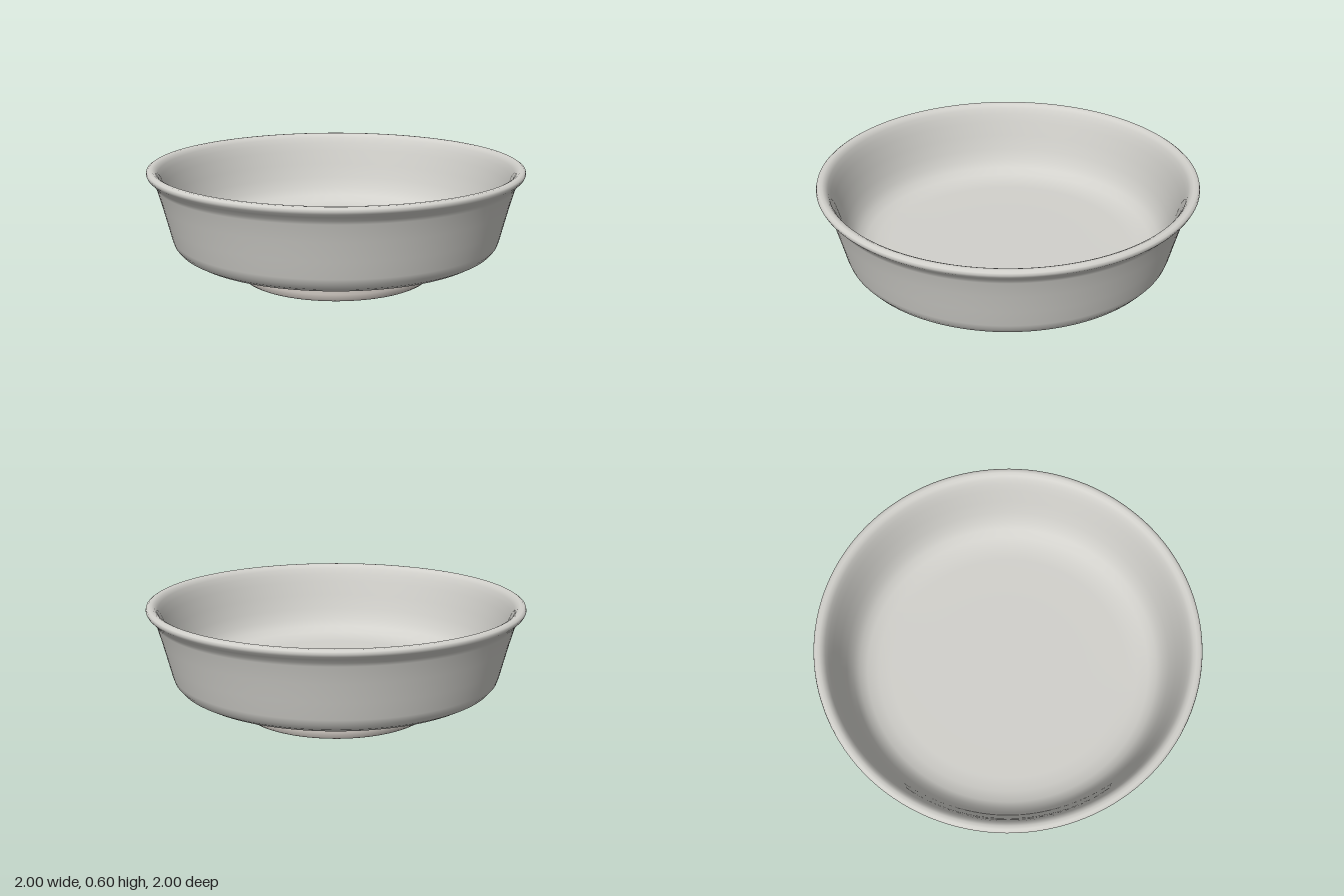
import * as THREE from 'three';

const SEGMENTS = 128;

// Revolve a list of [radius, height] points around the y axis.
function revolve(name, points, color) {
  const profile = points.map(([r, y]) => new THREE.Vector2(r, y));
  const mesh = new THREE.Mesh(
    new THREE.LatheGeometry(profile, SEGMENTS),
    new THREE.MeshStandardMaterial({ color, side: THREE.DoubleSide })
  );
  mesh.name = name;
  return mesh;
}

export function createModel() {
  const group = new THREE.Group();
  group.name = 'footedBowl';

  // Bowl shell: underside, flared wall, rolled rim, then the inside down to the floor
  group.add(revolve('bowl', [
    [0, 0.14], [0.4, 0.14], [0.7, 0.14], [0.76, 0.143], [0.81, 0.152], [0.845, 0.172],
    [0.868, 0.2], [0.878, 0.23], [0.9, 0.32], [0.925, 0.42], [0.95, 0.51],
    [0.96, 0.53], [0.978, 0.55], [0.994, 0.567], [1, 0.58], [0.997, 0.592], [0.985, 0.6],
    [0.968, 0.6], [0.953, 0.592], [0.94, 0.575], [0.928, 0.545], [0.912, 0.5],
    [0.89, 0.42], [0.865, 0.34], [0.84, 0.28], [0.81, 0.24], [0.77, 0.212],
    [0.71, 0.196], [0.64, 0.19], [0.4, 0.19], [0, 0.19],
  ], 0xd2d1cc));

  // Foot ring: rounded band with an open centre
  group.add(revolve('footRing', [
    [0.42, 0.145], [0.411, 0.12], [0.408, 0.09], [0.41, 0.04], [0.417, 0.012], [0.43, 0],
    [0.47, 0], [0.51, 0], [0.523, 0.012], [0.53, 0.04], [0.532, 0.09],
    [0.528, 0.12], [0.52, 0.145],
  ], 0xd6cfc8));

  return group;
}
